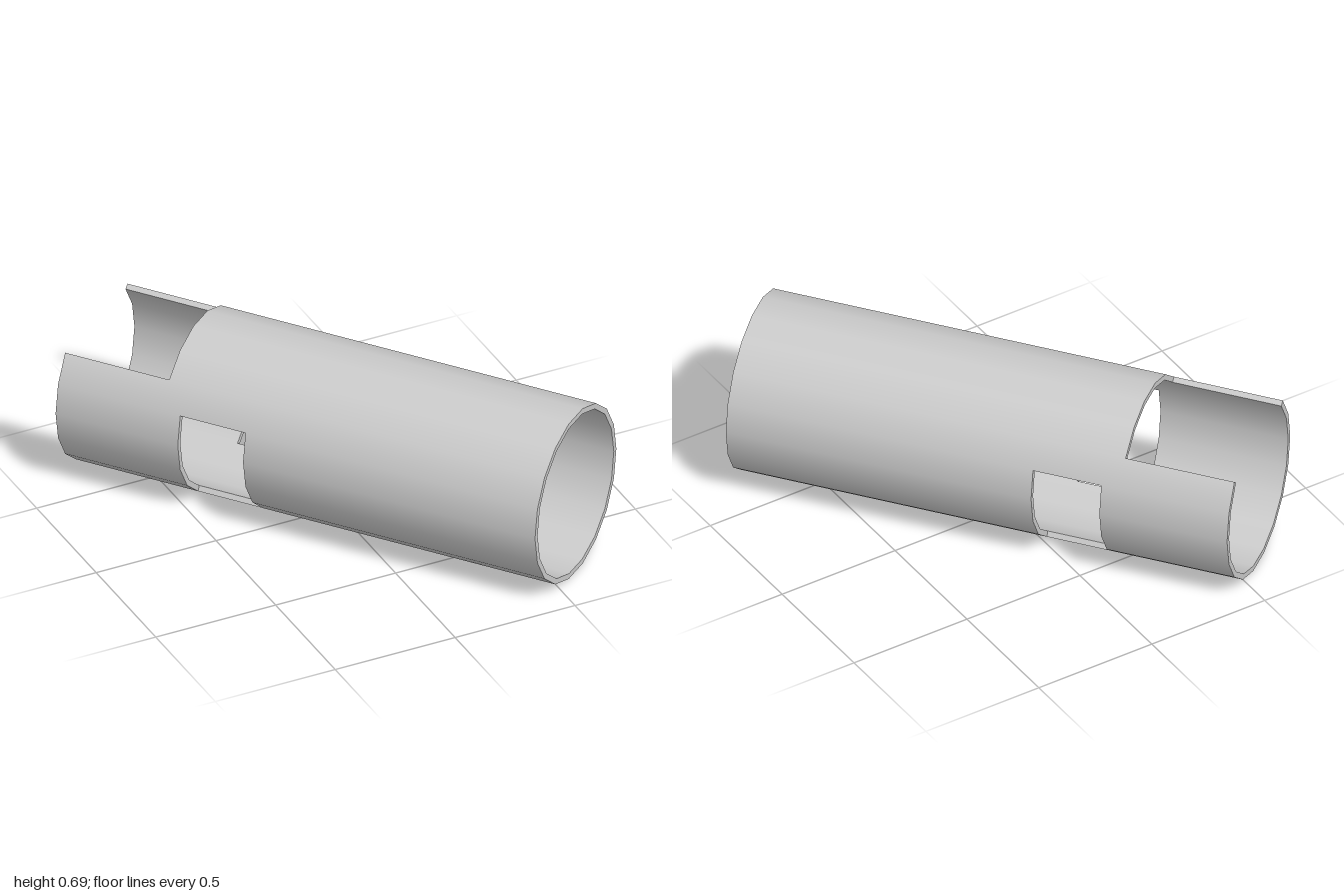
import * as THREE from 'three';

const SIDES = 18, R_OUT = 0.348, R_IN = 0.326;
// Stations along the axis: back end, notch end, window start, window end, front end
const STATIONS = [-0.995, -0.563, -0.488, -0.217, 0.995];
const TURN = THREE.MathUtils.degToRad(37.7);

// Which cells of the tube wall are present
function solid(sector, span) {
  if (span < 0 || span > 3) return false;
  const k = (sector + SIDES) % SIDES;
  if (span === 0) return k < 2 || k > 6;                        // open-topped notch
  if (span === 2) return !(k === 0 || k >= 15 || (k >= 8 && k <= 11)); // side windows
  return true;
}

function point(r, k, s) {
  const a = (k / SIDES) * Math.PI * 2;
  return new THREE.Vector3(r * Math.cos(a), r * Math.sin(a), STATIONS[s]);
}

// Mesh from quads; radial = 1 or -1 gives smooth normals, 0 gives flat ones
function quadMesh(name, quads, radial) {
  const pos = [], nor = [];
  for (const q of quads) {
    const flat = q[1].clone().sub(q[0]).cross(q[3].clone().sub(q[0])).normalize();
    for (const i of [0, 1, 2, 0, 2, 3]) {
      const p = q[i];
      const n = radial ? new THREE.Vector3(p.x, p.y, 0).normalize().multiplyScalar(radial) : flat;
      pos.push(p.x, p.y, p.z);
      nor.push(n.x, n.y, n.z);
    }
  }
  const geo = new THREE.BufferGeometry();
  geo.setAttribute('position', new THREE.Float32BufferAttribute(pos, 3));
  geo.setAttribute('normal', new THREE.Float32BufferAttribute(nor, 3));
  const mesh = new THREE.Mesh(geo, new THREE.MeshStandardMaterial({ color: 0xcccccc }));
  mesh.name = name;
  return mesh;
}

export function createModel() {
  const outer = [], inner = [], edges = [];
  for (let s = 0; s < 4; s++) {
    for (let k = 0; k < SIDES; k++) {
      if (!solid(k, s)) continue;
      const o = [point(R_OUT, k, s), point(R_OUT, k + 1, s), point(R_OUT, k + 1, s + 1), point(R_OUT, k, s + 1)];
      const i = [point(R_IN, k, s), point(R_IN, k + 1, s), point(R_IN, k + 1, s + 1), point(R_IN, k, s + 1)];
      outer.push(o);
      inner.push([...i].reverse());
      // Wall thickness wherever the neighbouring cell is missing
      if (!solid(k - 1, s)) edges.push([i[0], o[0], o[3], i[3]]);
      if (!solid(k + 1, s)) edges.push([i[2], o[2], o[1], i[1]]);
      if (!solid(k, s - 1)) edges.push([i[0], i[1], o[1], o[0]]);
      if (!solid(k, s + 1)) edges.push([o[3], o[2], i[2], i[3]]);
    }
  }

  const tube = new THREE.Group();
  tube.name = 'tube';
  tube.add(
    quadMesh('outerWall', outer, 1),
    quadMesh('innerWall', inner, -1),
    quadMesh('cutEdges', edges, 0)
  );
  tube.rotation.y = TURN;
  tube.position.y = R_OUT * Math.cos(Math.PI / SIDES);

  const model = new THREE.Group();
  model.name = 'notchedTube';
  model.add(tube);
  return model;
}
